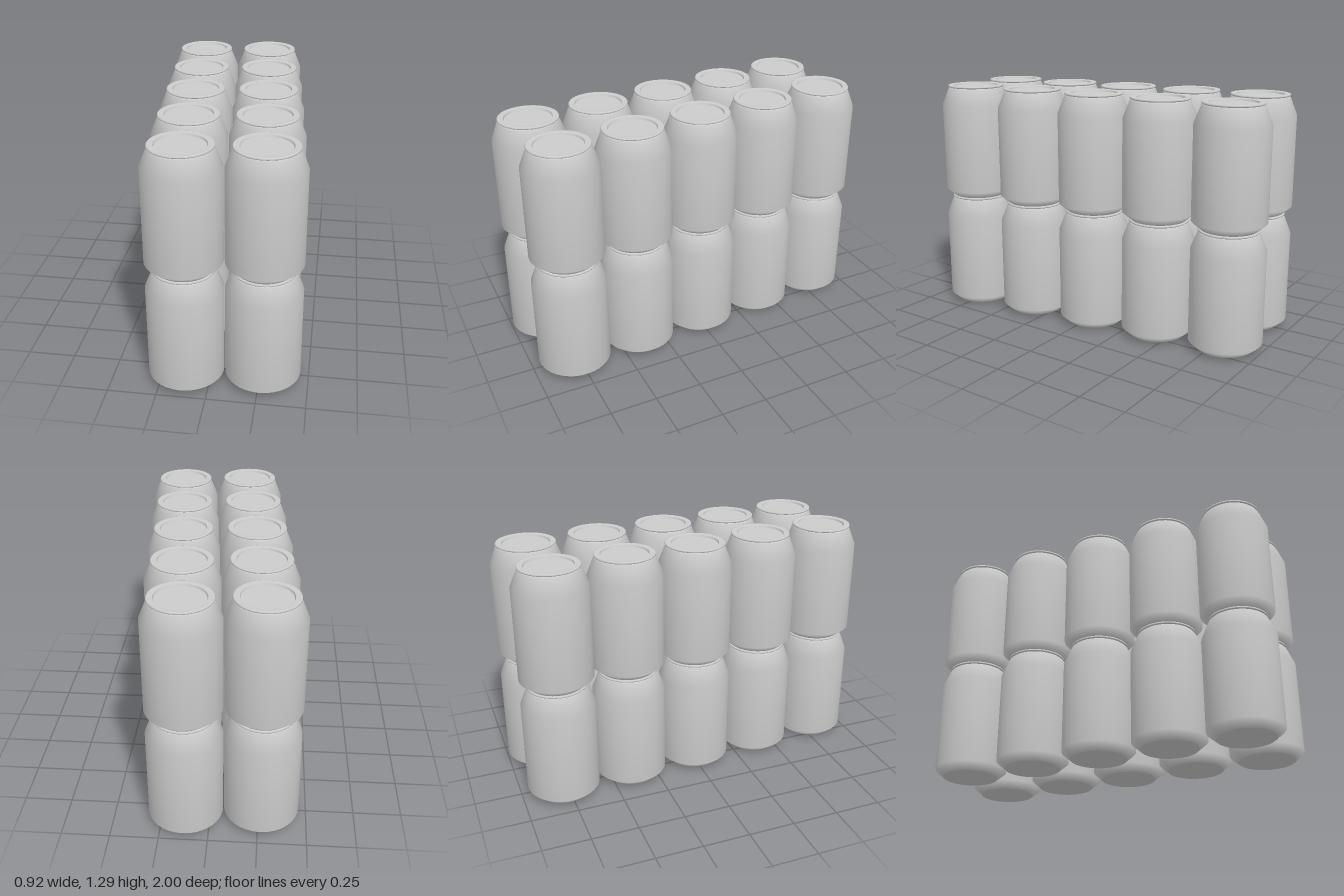
import * as THREE from 'three';

const SEGMENTS = 40;
const CAN_HEIGHT = 0.644;

// Each surface of one can as a [radius, height] profile; splits give crisp edges
const PROFILES = {
  base: [[0, 0], [0.148, 0]],
  body: [[0.148, 0], [0.1945, 0.04], [0.1945, 0.532], [0.157, 0.625], [0.151, 0.631]],
  rim: [[0.151, 0.631], [0.157, 0.634], [0.158, 0.638], [0.156, 0.643], [0.152, 0.644]],
  lidRing: [[0.152, 0.644], [0.126, 0.642]],
  lidStep: [[0.126, 0.642], [0.122, 0.632]],
  lidPanel: [[0.122, 0.632], [0, 0.632]],
};

export function createModel() {
  const model = new THREE.Group();
  model.name = 'stackedCans';
  const material = new THREE.MeshStandardMaterial({ color: 0xcccccc });

  const parts = Object.entries(PROFILES).map(([name, points]) => [
    name,
    new THREE.LatheGeometry(points.map(([r, y]) => new THREE.Vector2(r, y)), SEGMENTS),
  ]);

  function makeCan() {
    const can = new THREE.Group();
    can.name = 'can';
    for (const [name, geometry] of parts) {
      const mesh = new THREE.Mesh(geometry, material);
      mesh.name = name;
      can.add(mesh);
    }
    return can;
  }

  // Two layers of a 2 x 5 block, turned slightly about the vertical
  const block = new THREE.Group();
  block.name = 'canBlock';
  block.rotation.y = THREE.MathUtils.degToRad(5);
  for (let layer = 0; layer < 2; layer++) {
    for (const side of [-1, 1]) {
      for (let row = -2; row <= 2; row++) {
        const can = makeCan();
        can.position.set(side * 0.1965, layer * CAN_HEIGHT, row * 0.395);
        block.add(can);
      }
    }
  }
  model.add(block);
  return model;
}
